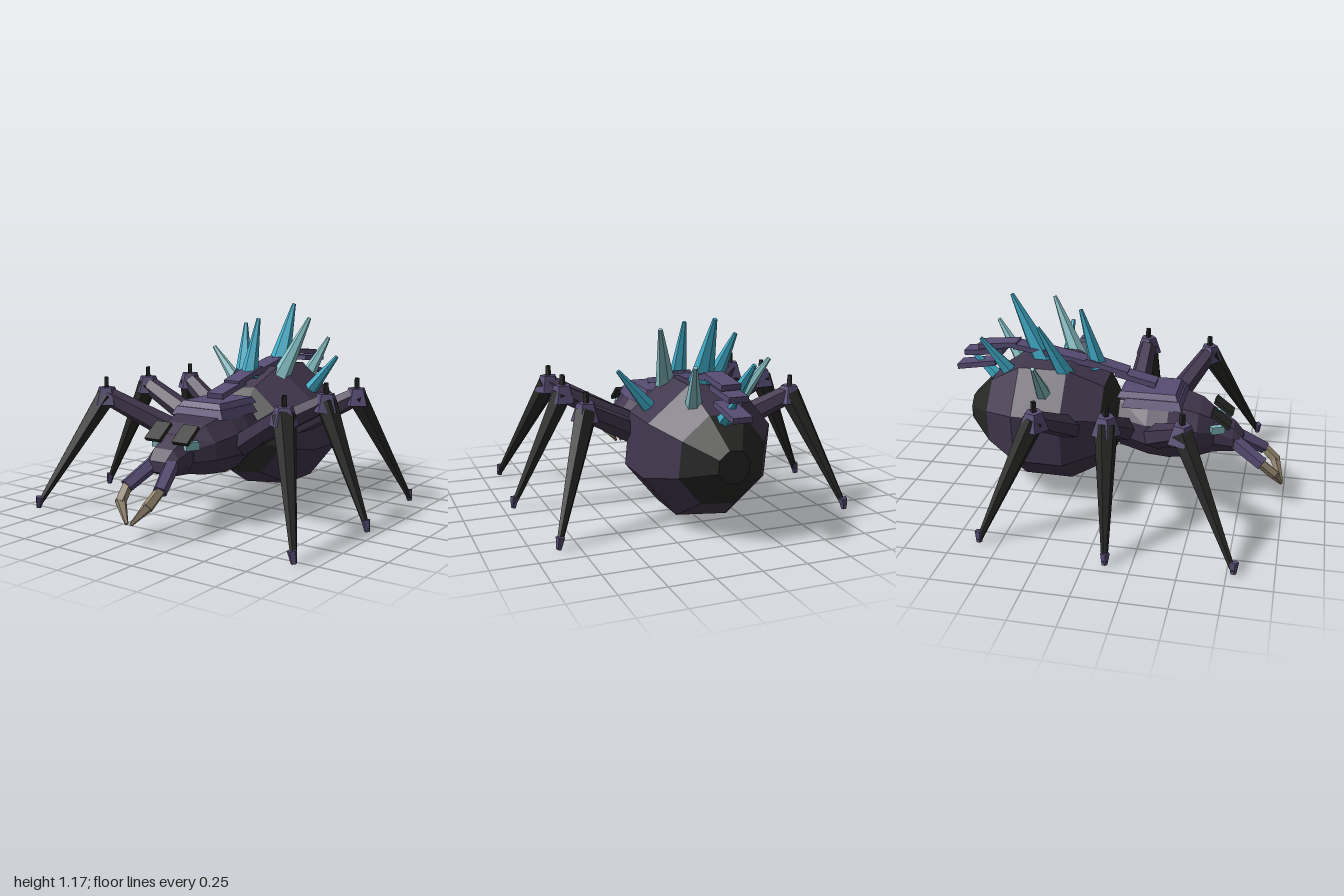
import * as THREE from 'three';

const paint = (name, color) => {
  const m = new THREE.MeshStandardMaterial({ color, flatShading: true });
  m.name = name;
  return m;
};

export function createModel() {
  const root = new THREE.Group();
  root.name = 'crystalBackedBug';

  const shell = paint('dark purple shell', 0x42374e);
  const plate = paint('purple plate', 0x574d74);
  const black = paint('black', 0x272726);
  const crystal = paint('blue crystal', 0x40acc8);
  const pale = paint('pale crystal', 0x84bec4);
  const bone = paint('bone', 0x94866f);

  const add = (name, geometry, material, parent = root) => {
    const mesh = new THREE.Mesh(geometry, material);
    mesh.name = name;
    parent.add(mesh);
    return mesh;
  };

  // Tapered faceted bar from point a to point b
  const UP = new THREE.Vector3(0, 1, 0);
  const bar = (name, a, b, ra, rb, sides, material, parent = root) => {
    const p = new THREE.Vector3(...a), q = new THREE.Vector3(...b);
    const dir = q.clone().sub(p);
    const mesh = add(name, new THREE.CylinderGeometry(rb, ra, dir.length(), sides), material, parent);
    mesh.position.copy(p).add(q).multiplyScalar(0.5);
    mesh.quaternion.setFromUnitVectors(UP, dir.normalize());
    return mesh;
  };

  // Flat slab leaning from its front edge (zf, yf) to its back edge (zb, yb)
  const slab = (name, x, zf, yf, zb, yb, width, thick, material) => {
    const len = Math.hypot(zf - zb, yf - yb);
    const mesh = add(name, new THREE.BoxGeometry(width, thick, len), material);
    mesh.position.set(x, (yf + yb) / 2, (zf + zb) / 2);
    mesh.rotation.x = Math.atan2(yb - yf, zf - zb);
    return mesh;
  };

  // Octagonal cross-sections [z, half width, bottom, top] joined from back to front
  const loft = (sections) => {
    const pos = [], idx = [], n = 8;
    for (const [z, w, y0, y1] of sections) {
      const m = (y0 + y1) / 2, h = (y1 - y0) / 2;
      const ring = [[1, -0.35], [1, 0.35], [0.65, 1], [-0.65, 1], [-1, 0.35], [-1, -0.35], [-0.6, -1], [0.6, -1]];
      for (const [u, v] of ring) pos.push(u * w, m + v * h, z);
    }
    const last = (sections.length - 1) * n;
    for (let i = 0; i < last; i += n) {
      for (let j = 0; j < n; j++) {
        const k = (j + 1) % n;
        idx.push(i + j, i + k, i + n + k, i + j, i + n + k, i + n + j);
      }
    }
    for (let j = 1; j < n - 1; j++) idx.push(0, j + 1, j, last, last + j, last + j + 1);
    const g = new THREE.BufferGeometry();
    g.setAttribute('position', new THREE.Float32BufferAttribute(pos, 3));
    g.setIndex(idx);
    g.computeVertexNormals();
    return g;
  };

  // Abdomen: eight-sided barrel with black end caps, profile as [radius, z]
  const abdomenPart = (name, profile, material) => {
    const pts = profile.map(([r, z]) => new THREE.Vector2(r, z));
    const g = new THREE.LatheGeometry(pts, 8, THREE.MathUtils.degToRad(73));
    g.rotateX(Math.PI / 2);
    add(name, g, material).position.y = 0.435;
  };
  abdomenPart('abdomenRearCap', [[0, -0.91], [0.095, -0.91], [0.26, -0.76]], black);
  abdomenPart('abdomen', [[0.26, -0.76], [0.392, -0.57], [0.395, -0.28], [0.28, -0.07]], shell);
  abdomenPart('abdomenFrontCap', [[0.28, -0.07], [0.1, 0.03], [0, 0.03]], black);

  // Thorax and head
  add('thorax', loft([
    [0.02, 0.17, 0.31, 0.6], [0.2, 0.24, 0.28, 0.61],
    [0.32, 0.24, 0.27, 0.61], [0.49, 0.2, 0.285, 0.56], [0.58, 0.12, 0.3, 0.51],
  ]), shell);
  add('head', loft([
    [0.56, 0.115, 0.295, 0.52], [0.69, 0.1, 0.305, 0.45], [0.745, 0.08, 0.33, 0.39],
  ]), shell);

  // Stepped back plates with sloping edges
  const backPlate = (name, w, h, d, y, z) => {
    const g = new THREE.BoxGeometry(w, h, d);
    const p = g.attributes.position;
    for (let i = 0; i < p.count; i++) {
      if (p.getY(i) > 0) p.setXYZ(i, p.getX(i) * 0.86, p.getY(i), p.getZ(i) * 0.9);
    }
    add(name, g, plate).position.set(0, y, z);
  };
  backPlate('lowerBackPlate', 0.36, 0.05, 0.35, 0.605, 0.22);
  backPlate('upperBackPlate', 0.3, 0.035, 0.36, 0.645, 0.19);

  // Overlapping spine plates: [front z, front y, back z, back y]
  [
    [0.22, 0.68, -0.02, 0.735], [0.05, 0.735, -0.2, 0.8], [-0.14, 0.775, -0.42, 0.83],
    [-0.4, 0.825, -0.64, 0.86], [-0.62, 0.87, -0.86, 0.845],
    [-0.71, 0.82, -0.95, 0.8], [-0.76, 0.745, -1, 0.705],
  ].forEach((s, i) => slab(`spinePlate${i + 1}`, 0, ...s, 0.11, 0.032, plate));

  // Crystal spikes: base, tip, base radius, colour
  [
    [[0, 0.75, -0.13], [0, 1.1, -0.235], 0.055, crystal],
    [[0, 0.77, -0.46], [0, 1.17, -0.65], 0.075, crystal],
    [[0.13, 0.74, -0.28], [0.23, 1.1, -0.455], 0.06, pale],
    [[-0.14, 0.72, -0.28], [-0.225, 1.05, -0.43], 0.06, crystal],
    [[-0.27, 0.67, -0.4], [-0.455, 0.89, -0.4], 0.045, pale],
    [[0.27, 0.66, -0.4], [0.455, 0.88, -0.4], 0.045, crystal],
    [[0.11, 0.7, -0.63], [0.175, 0.95, -0.8], 0.05, pale],
    [[-0.1, 0.7, -0.63], [-0.16, 0.94, -0.8], 0.05, crystal],
    [[0, 0.64, -0.76], [0, 0.79, -0.92], 0.045, crystal],
  ].forEach(([a, b, r, m], i) => bar(`crystalSpike${i + 1}`, a, b, r, 0.012, 6, m));

  // Legs: hip, knee, foot
  const legs = {
    front: [[0.21, 0.43, 0.25], [0.62, 0.66, 0.46], [0.885, 0.02, 0.785]],
    middle: [[0.19, 0.45, 0.055], [0.64, 0.68, 0.055], [0.94, 0.02, 0.11]],
    rear: [[0.2, 0.43, -0.2], [0.62, 0.66, -0.35], [0.86, 0.02, -0.615]],
  };
  for (const s of [1, -1]) {
    const side = s > 0 ? 'Left' : 'Right';
    const flip = ([x, y, z]) => [s * x, y, z];

    for (const [key, points] of Object.entries(legs)) {
      const [hip, knee, foot] = points.map(flip);
      const leg = new THREE.Group();
      leg.name = `${key}${side}Leg`;
      root.add(leg);
      bar('upperLeg', hip, knee, 0.075, 0.055, 6, shell, leg);
      bar('lowerLeg', knee, foot, 0.065, 0.016, 6, black, leg);
      const [x, y, z] = knee;
      bar('kneeCap', [x, y - 0.05, z], [x, y + 0.05, z], 0.085, 0.05, 5, plate, leg);
      bar('kneePeg', [x, y + 0.04, z], [x, y + 0.11, z], 0.018, 0.015, 4, black, leg);
      const [fx, fy, fz] = foot;
      bar('foot', [fx, 0.005, fz], [fx - s * 0.012, fy + 0.05, fz], 0.016, 0.027, 5, plate, leg);
    }

    // Brow, eye and jaws
    slab(`brow${side}`, s * 0.095, 0.67, 0.485, 0.565, 0.565, 0.105, 0.022, black);
    const eye = add(`eye${side}`, new THREE.BoxGeometry(0.035, 0.045, 0.08), pale);
    eye.position.set(s * 0.122, 0.465, 0.6);
    eye.rotation.y = -s * 0.45;
    bar(`jawBase${side}`, flip([0.06, 0.37, 0.7]), flip([0.115, 0.265, 0.87]), 0.045, 0.04, 5, plate);
    bar(`jawMiddle${side}`, flip([0.115, 0.28, 0.85]), flip([0.095, 0.195, 0.945]), 0.03, 0.032, 5, bone);
    bar(`jawTip${side}`, flip([0.097, 0.205, 0.935]), flip([0.014, 0.1, 0.985]), 0.032, 0.01, 5, bone);
  }

  return root;
}
